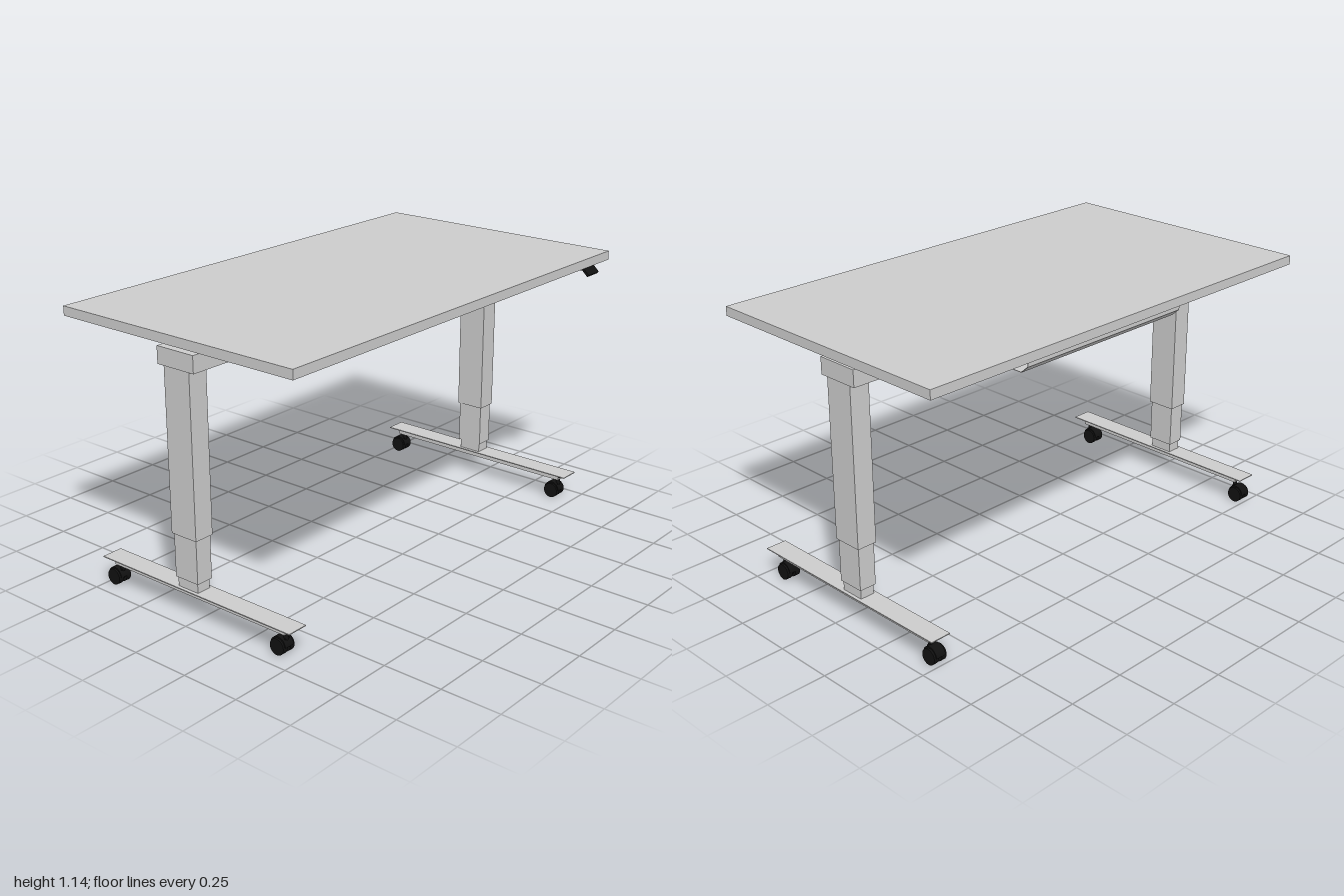
import * as THREE from 'three';

const grey = new THREE.MeshStandardMaterial({ color: 0xcccccc });
const sheet = new THREE.MeshStandardMaterial({ color: 0xcccccc, side: THREE.DoubleSide });
const black = new THREE.MeshStandardMaterial({ color: 0x111111 });

function add(parent, name, geometry, material = grey) {
  const mesh = new THREE.Mesh(geometry, material);
  mesh.name = name;
  parent.add(mesh);
  return mesh;
}

// box given by its limits on each axis
function box(parent, name, [x0, x1], [y0, y1], [z0, z1], material = grey) {
  const mesh = add(parent, name, new THREE.BoxGeometry(x1 - x0, y1 - y0, z1 - z0), material);
  mesh.position.set((x0 + x1) / 2, (y0 + y1) / 2, (z0 + z1) / 2);
  return mesh;
}

// cylinder lying along z
function disc(parent, name, radius, width, x, y, z, material) {
  const mesh = add(parent, name, new THREE.CylinderGeometry(radius, radius, width, 24).rotateX(Math.PI / 2), material);
  mesh.position.set(x, y, z);
  return mesh;
}

// outline in x and y, extruded along z
function profile(parent, name, points, z0, z1, material) {
  const shape = new THREE.Shape(points.map(([x, y]) => new THREE.Vector2(x, y)));
  const geometry = new THREE.ExtrudeGeometry(shape, { depth: z1 - z0, bevelEnabled: false });
  geometry.translate(0, 0, z0);
  return add(parent, name, geometry, material);
}

function makeCaster(x, stemX, z) {
  const caster = new THREE.Group();
  caster.name = 'caster';
  for (const side of [-1, 1]) disc(caster, 'wheel', 0.033, 0.022, x, 0.033, z + side * 0.019, black);
  disc(caster, 'hub', 0.024, 0.018, x, 0.036, z, black);
  const hood = add(caster, 'hood',
    new THREE.CylinderGeometry(0.036, 0.036, 0.044, 20, 1, false, 0, Math.PI).rotateX(-Math.PI / 2).rotateZ(Math.PI / 2), black);
  hood.position.set(x, 0.036, z);
  box(caster, 'fork', [Math.min(x, stemX) - 0.006, Math.max(x, stemX) + 0.006], [0.04, 0.066], [z - 0.012, z + 0.012], black);
  const stem = add(caster, 'stem', new THREE.CylinderGeometry(0.009, 0.009, 0.04, 16), black);
  stem.position.set(stemX, 0.073, z);
  return caster;
}

function makeLeg(side) {
  const leg = new THREE.Group();
  leg.name = side > 0 ? 'frontLeg' : 'backLeg';
  const z = side * 0.91;
  const span = (half) => [z - half, z + half];

  // telescoping column
  box(leg, 'outerColumn', [-0.102, 0.025], [0.338, 1.0], span(0.043));
  box(leg, 'middleColumn', [-0.096, 0.019], [0.158, 0.34], span(0.037));
  box(leg, 'innerColumn', [-0.09, 0.012], [0.118, 0.16], span(0.031));

  // foot plate with an open-ended channel beneath
  box(leg, 'footPlate', [-0.5, 0.482], [0.114, 0.118], span(0.045));
  box(leg, 'channelBottom', [-0.458, 0.438], [0.088, 0.091], span(0.023));
  for (const s of [-1, 1]) {
    const c = z + s * 0.0215;
    box(leg, 'channelWall', [-0.458, 0.438], [0.09, 0.115], [c - 0.0015, c + 0.0015]);
  }
  leg.add(makeCaster(-0.463, -0.443, z), makeCaster(0.406, 0.425, z));

  // head box and spacers up to the table top
  const head = [side * 0.67, side * 0.957].sort((a, b) => a - b);
  box(leg, 'legHead', [-0.13, 0.052], [0.997, 1.066], head);
  for (const x of [-0.103, 0.026])
    box(leg, 'spacer', [x - 0.018, x + 0.018], [1.065, 1.101], [side * 0.83 - 0.02, side * 0.83 + 0.02], black);
  return leg;
}

function makeCrossBar(side) {
  const bar = new THREE.Group();
  bar.name = 'crossBar';
  const z = side * 0.557;
  box(bar, 'bar', [-0.487, 0.415], [1.067, 1.1], [z - 0.026, z + 0.026]);
  // rounded end caps
  for (const [x, dir] of [[-0.489, 1], [0.417, -1]]) {
    disc(bar, 'endCap', 0.0168, 0.076, x, 1.0835, z, black);
    box(bar, 'endCapSleeve', [Math.min(x, x + dir * 0.004), Math.max(x, x + dir * 0.004)], [1.0665, 1.1003], [z - 0.038, z + 0.038], black);
  }
  return bar;
}

export function createModel() {
  const table = new THREE.Group();
  table.name = 'heightAdjustableTable';

  box(table, 'tableTop', [-0.58, 0.56], [1.1, 1.138], [-1, 1]);

  // frame under the top
  for (const side of [-1, 1]) table.add(makeLeg(side), makeCrossBar(side));
  box(table, 'mainBeam', [-0.04, 0.035], [0.999, 1.064], [-0.68, 0.68]);
  box(table, 'longRail', [0.35, 0.39], [1.074, 1.097], [-0.54, 0.54]);
  box(table, 'underPanel', [-0.18, 0.28], [1.097, 1.1005], [-0.428, 0.428]);

  // cable tray: thin folded sheet, open at both ends
  const fold = [[-0.463, 1.1], [-0.463, 1.018], [-0.43, 0.988], [-0.215, 0.988], [-0.182, 1.018], [-0.182, 1.1]];
  const t = 0.002;
  const inner = [[-0.463 + t, 1.1], [-0.463 + t, 1.019], [-0.429, 0.988 + t], [-0.216, 0.988 + t], [-0.182 - t, 1.019], [-0.182 - t, 1.1]];
  profile(table, 'cableTray', [...fold, ...inner.reverse()], -0.428, 0.428, sheet);

  // control paddle, bent down past the table edge
  profile(table, 'controlPaddle',
    [[0.447, 1.1], [0.447, 1.086], [0.543, 1.086], [0.568, 1.063], [0.575, 1.071], [0.548, 1.097], [0.54, 1.1]],
    -0.9, -0.82, black);

  return table;
}
